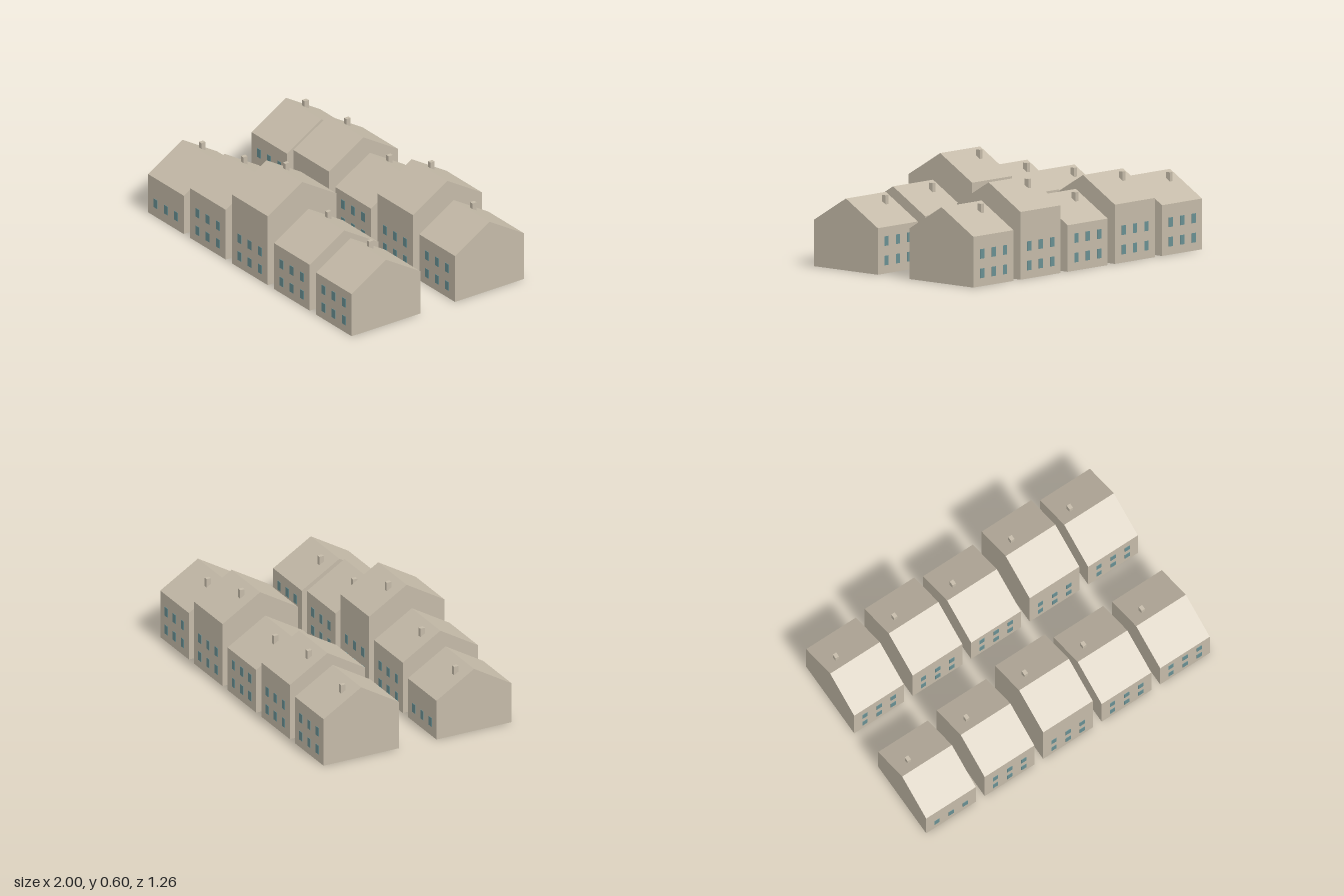
import * as THREE from 'three';

const WIDTH = 0.35, DEPTH = 0.5, RISE = 0.15, PITCH = 0.4125;

// eave heights of each row of houses, from -x to +x
const ROWS = [
  { name: 'front', z: 0.375, eaves: [0.25, 0.325, 0.45, 0.3, 0.275] },
  { name: 'back', z: -0.375, eaves: [0.3, 0.35, 0.275, 0.4, 0.3] },
];

export function createModel() {
  const stone = new THREE.MeshStandardMaterial({ color: 0xc4baa8 });
  stone.name = 'stone';
  const glass = new THREE.MeshStandardMaterial({ color: 0x688f92 });
  glass.name = 'window glass';

  const windowGeo = new THREE.BoxGeometry(0.035, 0.056, 0.006);

  function part(name, geo, mat, parent, x = 0, y = 0, z = 0) {
    const mesh = new THREE.Mesh(geo, mat);
    mesh.name = name;
    mesh.position.set(x, y, z);
    parent.add(mesh);
    return mesh;
  }

  // gabled block: end wall profile swept along x
  function bodyGeometry(eave) {
    const d = DEPTH / 2;
    const gable = new THREE.Shape([
      new THREE.Vector2(-d, 0),
      new THREE.Vector2(d, 0),
      new THREE.Vector2(d, eave),
      new THREE.Vector2(0, eave + RISE),
      new THREE.Vector2(-d, eave),
    ]);
    const geo = new THREE.ExtrudeGeometry(gable, { depth: WIDTH, bevelEnabled: false });
    geo.translate(0, 0, -WIDTH / 2);
    geo.rotateY(Math.PI / 2);
    return geo;
  }

  function house(eave) {
    const group = new THREE.Group();
    part('walls and roof', bodyGeometry(eave), stone, group);

    // chimney on the rear slope, level with the ridge
    const top = eave + RISE, height = 0.08;
    part('chimney', new THREE.BoxGeometry(0.024, height, 0.03), stone, group,
      -0.084, top - height / 2, -0.075);

    // three windows per storey on the front and rear walls
    const storeys = eave > 0.26 ? [0.077, 0.192] : [0.087];
    for (const side of [1, -1])
      for (const y of storeys)
        for (const x of [-0.1, 0, 0.1])
          part('window', windowGeo, glass, group, x, y, side * DEPTH / 2);
    return group;
  }

  const model = new THREE.Group();
  model.name = 'rows of houses';
  for (const row of ROWS) {
    row.eaves.forEach((eave, i) => {
      const h = house(eave);
      h.name = `${row.name} house ${i + 1}`;
      h.position.set((i - 2) * PITCH, 0, row.z);
      model.add(h);
    });
  }
  return model;
}
